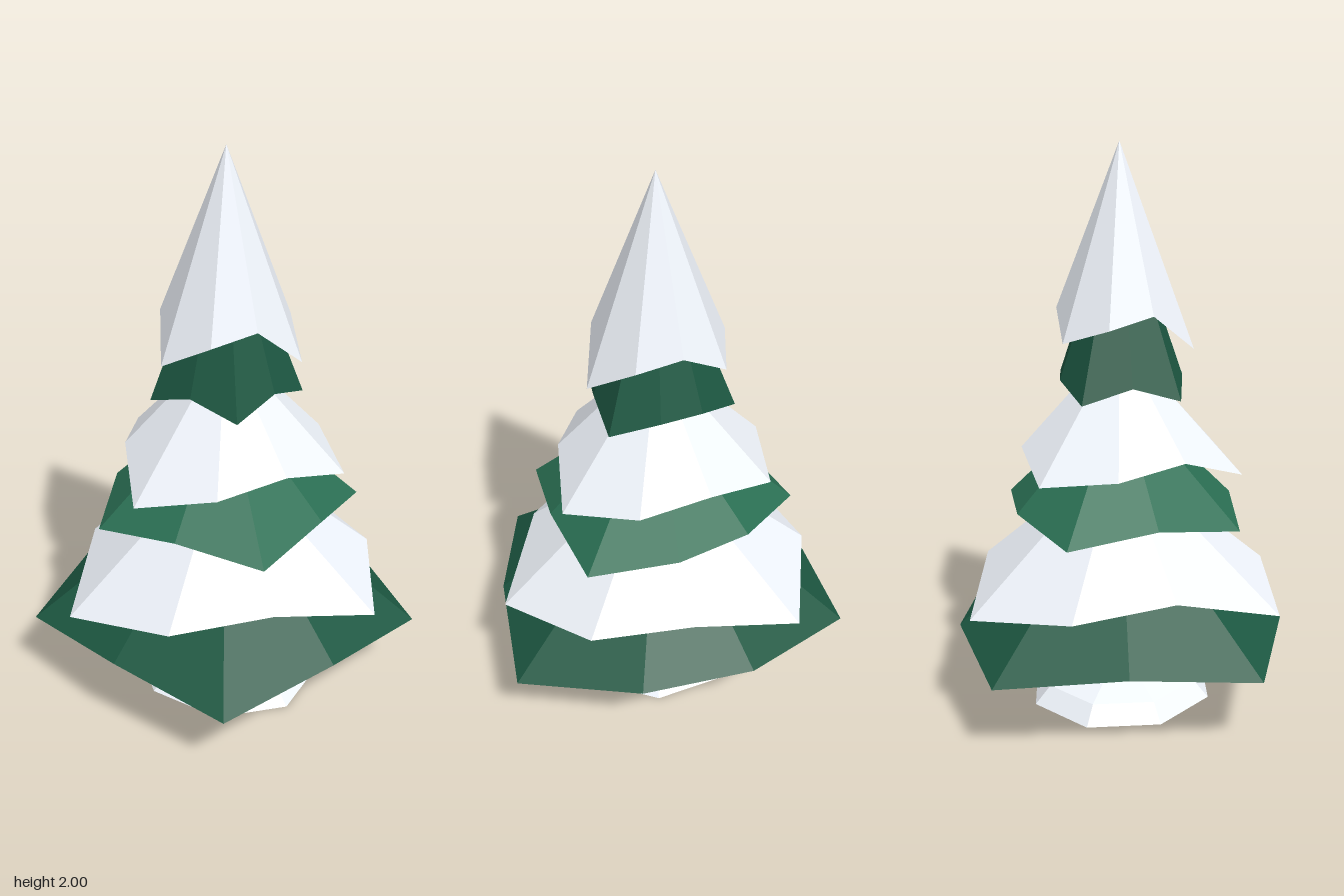
import * as THREE from 'three';

const CX = 0.026, CZ = 0.044; // trunk axis
const DEG = Math.PI / 180;
const material = (color) => new THREE.MeshStandardMaterial({ color, flatShading: true });

const snow = material(0xf0f5fc);
const darkGreen = material(0x1d5842);
const lightGreen = material(0x2b7054);
const bark = material(0x6b4a35);

// Nine-sided cone with a jagged rim and a shallow hollow underneath. rim(i) gives [radius, y].
function jaggedCone(name, mat, apexY, underY, startDeg, rim) {
  const n = 9;
  const ring = [];
  for (let i = 0; i < n; i++) {
    const a = (startDeg + i * 360 / n) * DEG;
    const [r, y] = rim(i);
    ring.push([r * Math.cos(a), y, r * Math.sin(a)]);
  }
  const pos = [];
  for (let i = 0; i < n; i++) {
    const a = ring[i], b = ring[(i + 1) % n];
    pos.push(0, apexY, 0, ...b, ...a); // slope
    pos.push(0, underY, 0, ...a, ...b); // underside
  }
  const geo = new THREE.BufferGeometry();
  geo.setAttribute('position', new THREE.Float32BufferAttribute(pos, 3));
  geo.computeVertexNormals();
  const mesh = new THREE.Mesh(geo, mat);
  mesh.name = name;
  mesh.position.set(CX, 0, CZ);
  return mesh;
}

// Branches: long drooping tips alternate with short raised ones.
function branches(name, mat, apexY, underY, startDeg, short, long) {
  return jaggedCone(name, mat, apexY, underY, startDeg, (i) => (i % 2 ? long : short));
}

// Snow: drips in a long, short, middle rhythm, all lying on one cone.
function snowLayer(name, apexY, underY, slope, startDeg, longYs, shortY, midY) {
  return jaggedCone(name, snow, apexY, underY, startDeg, (i) => {
    const y = [longYs[Math.floor(i / 3)], shortY, midY][i % 3];
    return [(apexY - y) / slope, y];
  });
}

export function createModel() {
  const tree = new THREE.Group();
  tree.name = 'snowyTree';

  // Snow mound around the foot of the trunk
  const profile = [[0.06, 0.004], [0.337, 0], [0.28, 0.06], [0.165, 0.1], [0.05, 0.1]]
    .map(([r, y]) => new THREE.Vector2(r, y));
  const mound = new THREE.Mesh(new THREE.LatheGeometry(profile, 8, 3 * DEG), snow);
  mound.name = 'snowMound';
  mound.position.set(CX, 0, 0.06);
  mound.scale.z = 1.08;
  tree.add(mound);

  // Six-sided trunk
  const trunk = new THREE.Mesh(new THREE.CylinderGeometry(0.065, 0.082, 0.4, 6), bark);
  trunk.name = 'trunk';
  trunk.position.set(CX, 0.2, CZ);
  tree.add(trunk);

  // Tiers from bottom to top, each with its snow
  tree.add(
    branches('lowerBranches', darkGreen, 0.83, 0.335, 4.6, [0.588, 0.307], [0.702, 0.262]),
    snowLayer('lowerSnow', 0.925, 0.58, 0.84, 64.6, [0.414, 0.402, 0.41], 0.515, 0.47),
    branches('middleBranches', lightGreen, 1.15, 0.795, -11.2, [0.404, 0.747], [0.482, 0.702]),
    snowLayer('middleSnow', 1.33, 1.01, 1.085, 48.2, [0.866, 0.853, 0.88], 0.951, 0.917),
    branches('upperBranches', darkGreen, 1.84, 1.245, -4, [0.221, 1.196], [0.267, 1.141]),
    snowLayer('snowCap', 2, 1.52, 2.58, 56, [1.292, 1.306, 1.341], 1.437, 1.396),
  );
  return tree;
}
